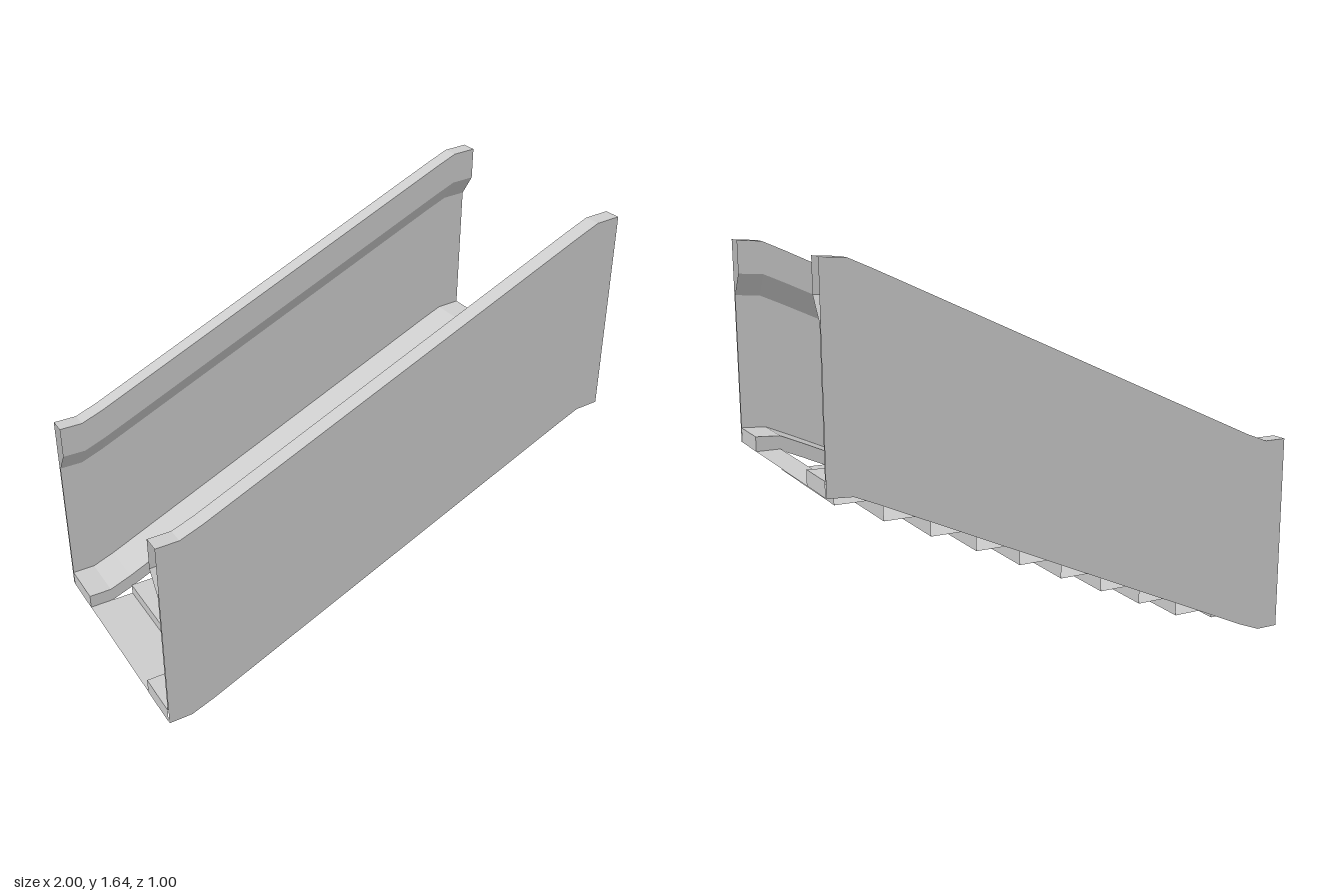
import * as THREE from 'three';

const material = new THREE.MeshStandardMaterial({
  color: 0xcccccc, flatShading: true, side: THREE.DoubleSide,
});

// Slope line of the stair flight, as [x, y]
const SLOPE = [[-1, 0], [-0.905, 0], [-0.81, 0.037], [0.81, 0.777], [0.9, 0.816], [1, 0.822]];

// Cross-sections of one side, as [z, height above the slope line]
const WALL = [[0.5, 0], [0.5, 0.82], [0.432, 0.82], [0.432, 0.69], [0.492, 0.6], [0.492, 0.06]];
const CURB = [[0.492, 0.06], [0.3, 0.06], [0.3, 0]];
const CURB_HEIGHT = 0.06;

// Open sheet: a [z, y] profile carried along an [x, y] path; side -1 mirrors it in z
function sweep(path, profile, side = 1) {
  const positions = [];
  const point = (i, j) => [path[i][0], path[i][1] + profile[j][1], side * profile[j][0]];
  for (let i = 0; i < path.length - 1; i++) {
    for (let j = 0; j < profile.length - 1; j++) {
      const a = point(i, j), b = point(i + 1, j), c = point(i + 1, j + 1), d = point(i, j + 1);
      const corners = side > 0 ? [a, b, c, a, c, d] : [a, c, b, a, d, c];
      positions.push(...corners.flat());
    }
  }
  const geometry = new THREE.BufferGeometry();
  geometry.setAttribute('position', new THREE.Float32BufferAttribute(positions, 3));
  geometry.computeVertexNormals();
  return geometry;
}

function addMesh(parent, name, geometry) {
  const mesh = new THREE.Mesh(geometry, material);
  mesh.name = name;
  parent.add(mesh);
  return mesh;
}

export function createModel() {
  const model = new THREE.Group();
  model.name = 'staircase';

  // Treads and risers as one folded sheet
  const steps = [[-1, 0.002]];
  const first = -0.81, run = 0.19, rise = 0.0865;
  for (let i = 0; i < 10; i++) {
    const x = first + i * run;
    steps.push([x, steps[steps.length - 1][1]], [x, 0.045 + i * rise]);
  }
  steps[steps.length - 1][1] = 0.822;
  steps.push([1, 0.822]);
  addMesh(model, 'steps', sweep(steps, [[0.3, 0], [-0.3, 0]]));

  // Walls with their handrails, and the curbs beside the steps
  for (const side of [1, -1]) {
    const group = new THREE.Group();
    group.name = side > 0 ? 'leftSide' : 'rightSide';
    model.add(group);
    addMesh(group, 'wallWithHandrail', sweep(SLOPE, WALL, side));
    addMesh(group, 'curb', sweep(SLOPE, CURB, side));

    // Caps closing both ends of the curb
    for (const [x, y] of [SLOPE[0], SLOPE[SLOPE.length - 1]]) {
      const cap = addMesh(group, 'curbEnd', new THREE.PlaneGeometry(0.192, CURB_HEIGHT));
      cap.rotation.y = Math.sign(x) * Math.PI / 2;
      cap.position.set(x, y + CURB_HEIGHT / 2, side * 0.396);
    }
  }
  return model;
}
